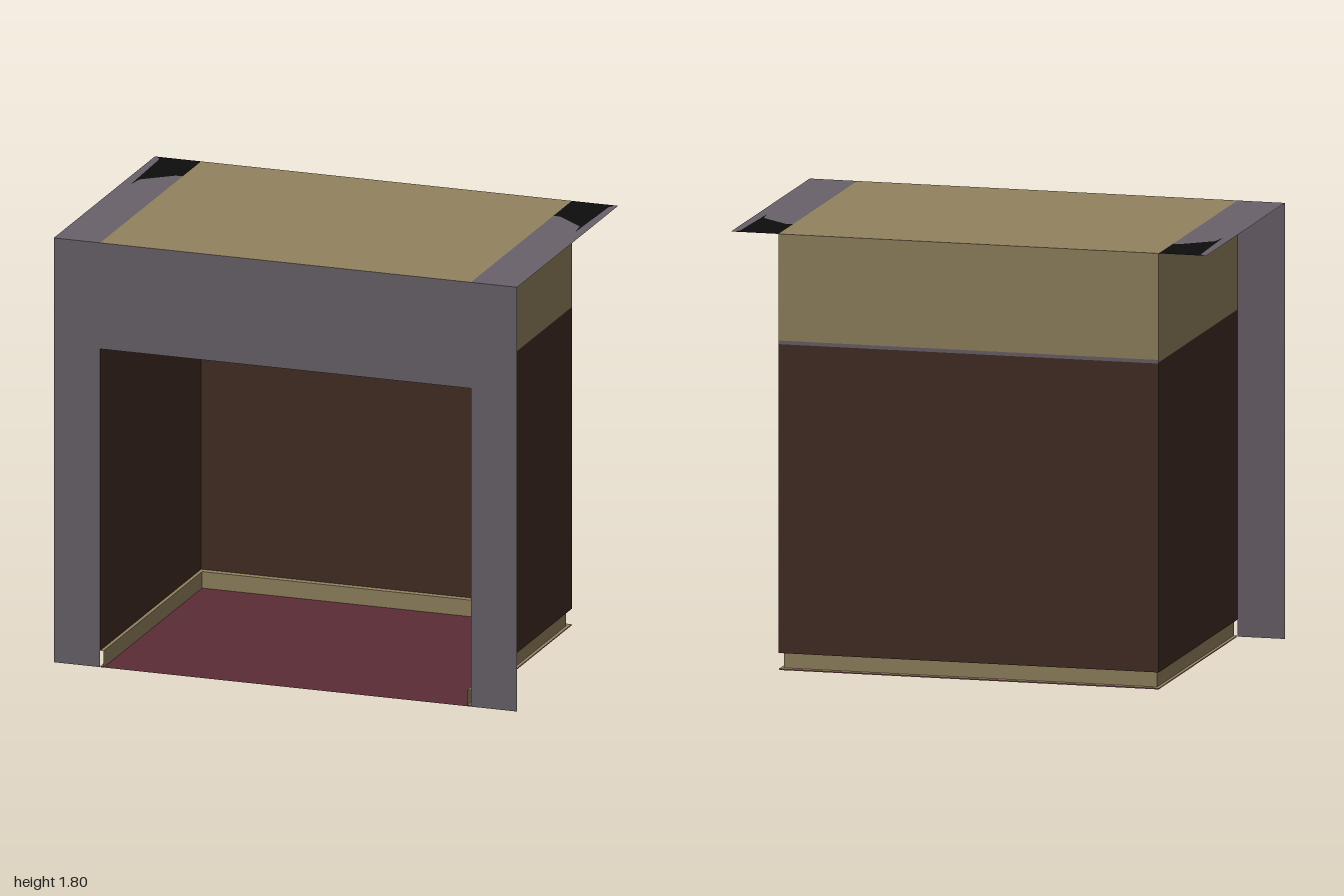
import * as THREE from 'three';

const mat = (name, color) => {
  const m = new THREE.MeshStandardMaterial({ color, side: THREE.DoubleSide });
  m.name = name;
  return m;
};

export function createModel() {
  const group = new THREE.Group();
  const purple = mat('greyPurple', 0x69616a);
  const tan = mat('tan', 0x92825f);
  const brown = mat('darkBrown', 0x422d23);
  const red = mat('darkRed', 0x5c2c35);
  const black = mat('black', 0x0d0d0d);

  const W = 0.8, D = 0.6, H = 1.8, OPEN = 1.35, SKIRT = 0.07;
  const insetX = 0.015, insetZ = 0.03;

  const add = (name, geometry, material) => {
    const mesh = new THREE.Mesh(geometry, material);
    mesh.name = name;
    group.add(mesh);
    return mesh;
  };
  const outline = pts => new THREE.Shape(pts.map(p => new THREE.Vector2(...p)));
  // Flat panel seen from above: points are (x, z)
  const level = (name, pts, y, material) =>
    add(name, new THREE.ShapeGeometry(outline(pts)).rotateX(Math.PI / 2).translate(0, y, 0), material);
  const rect = (x0, z0, x1, z1) => [[x0, z0], [x1, z0], [x1, z1], [x0, z1]];
  // Upright panels
  const backPanel = (name, halfW, z, y0, y1, material) =>
    add(name, new THREE.PlaneGeometry(2 * halfW, y1 - y0).rotateY(Math.PI).translate(0, (y0 + y1) / 2, z), material);
  const sidePanel = (name, x, back, y0, y1, material) =>
    add(name, new THREE.PlaneGeometry(D - back, y1 - y0).rotateY(Math.sign(x) * Math.PI / 2)
      .translate(x, (y0 + y1) / 2, (D + back) / 2), material);

  // Front frame around the opening
  add('frontFrame', new THREE.ShapeGeometry(outline([
    [-1, 0], [-W, 0], [-W, OPEN], [W, OPEN], [W, 0], [1, 0], [1, H], [-1, H],
  ])).translate(0, 0, D), purple);

  // Back wall with a narrow dividing line
  backPanel('backWall', W, -D, SKIRT, 1.345, brown);
  backPanel('backWallLine', W, -D, 1.345, 1.36, purple);
  backPanel('backFrieze', W, -D, 1.36, H, tan);

  // Recessed skirting on the back, with its ledge and floor rim
  backPanel('backSkirting', W - insetX, -D + insetZ, 0, SKIRT, tan);
  level('backLedge', rect(-W, -D, W, -D + insetZ), SKIRT, tan);
  level('backFloorRim', rect(-W, -D, W, -D + insetZ), 0.004, tan);

  // Floor
  level('floor', rect(-W, -D, W, D), 0, red);

  // Roof centre
  level('roof', rect(-W, -D, W, D), H, tan);

  for (const s of [-1, 1]) {
    const side = s > 0 ? 'left' : 'right';
    const mirror = pts => pts.map(([x, z]) => [s * x, z]);

    // Side walls
    sidePanel(side + 'Wall', s * W, -D, SKIRT, OPEN, brown);
    sidePanel(side + 'Frieze', s * W, -D, OPEN, H, tan);

    // Side skirting
    sidePanel(side + 'Skirting', s * (W - insetX), -D + insetZ, 0, SKIRT, tan);
    level(side + 'Ledge', mirror(rect(W - insetX, -D + insetZ, W, D)), SKIRT, tan);
    level(side + 'FloorRim', mirror(rect(W - insetX, -D + insetZ, W, D)), 0.004, tan);

    // Roof overhang with a dark rear corner
    const edge = [[W, -0.38], [0.83, -0.38], [0.95, -0.28], [0.96, -0.2], [0.97, -0.57], [0.99, -D]];
    level(side + 'RoofOverhang', mirror([...edge, [1, -D], [1, D], [W, D]]), H, purple);
    level(side + 'RoofDarkCorner', mirror([...edge, [W, -D]]), H, black);
  }
  return group;
}
